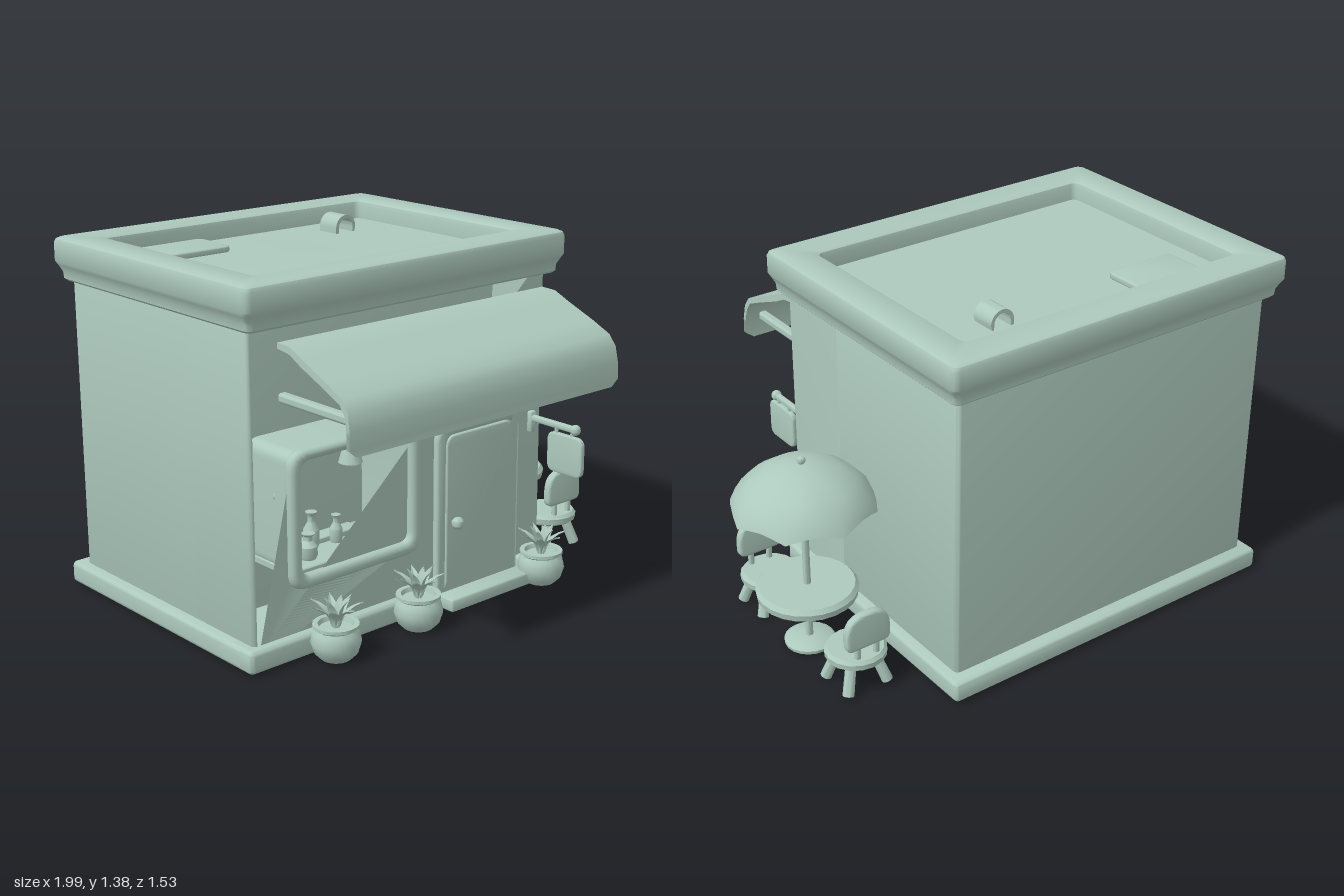
import * as THREE from 'three';
import { toCreasedNormals } from 'three/addons/utils/BufferGeometryUtils.js';
import { RoundedBoxGeometry } from 'three/addons/geometries/RoundedBoxGeometry.js';

const clay = new THREE.MeshStandardMaterial({ color: 0xadc9bd, side: THREE.DoubleSide });
clay.name = 'sage clay';

const V = (x, y, z) => new THREE.Vector3(x, y, z);

function add(parent, name, geo, x = 0, y = 0, z = 0, crease = 0.65) {
  const m = new THREE.Mesh(toCreasedNormals(geo, crease), clay);
  m.name = name;
  m.position.set(x, y, z);
  parent.add(m);
  return m;
}

// Rounded box given by its limits
function block(parent, name, [x0, x1], [y0, y1], [z0, z1], r = 0.015) {
  return add(parent, name, new RoundedBoxGeometry(x1 - x0, y1 - y0, z1 - z0, 3, r),
    (x0 + x1) / 2, (y0 + y1) / 2, (z0 + z1) / 2);
}

// Straight rod between two points
function rod(parent, name, a, b, r, r2 = r) {
  const geo = new THREE.CylinderGeometry(r2, r, a.distanceTo(b), 12);
  const m = add(parent, name, geo);
  m.position.copy(a).lerp(b, 0.5);
  m.quaternion.setFromUnitVectors(V(0, 1, 0), b.clone().sub(a).normalize());
  return m;
}

const lathe = (pts, n = 20) => new THREE.LatheGeometry(pts.map(p => new THREE.Vector2(...p)), n);

// Rounded rectangle outline with separate top and bottom radii
function roundRect(target, x0, x1, y0, y1, rt, rb = rt) {
  target.moveTo(x0 + rb, y0);
  target.lineTo(x1 - rb, y0);
  if (rb) target.quadraticCurveTo(x1, y0, x1, y0 + rb);
  target.lineTo(x1, y1 - rt);
  target.quadraticCurveTo(x1, y1, x1 - rt, y1);
  target.lineTo(x0 + rt, y1);
  target.quadraticCurveTo(x0, y1, x0, y1 - rt);
  target.lineTo(x0, y0 + rb);
  if (rb) target.quadraticCurveTo(x0, y0, x0 + rb, y0);
  return target;
}

function slab(shape, depth, bevel) {
  return new THREE.ExtrudeGeometry(shape, { depth: depth - 2 * bevel, curveSegments: 8, bevelEnabled: bevel > 0,
    bevelSize: bevel, bevelThickness: bevel, bevelOffset: -bevel, bevelSegments: 3 }).translate(0, 0, bevel);
}

// Rectangular rings [inset, y] joined into a moulding, closed by a floor
function moulding(hx, hz, rings) {
  const pos = [], idx = [], n = 16;
  for (const [d, y] of rings) {
    for (let i = 0; i < n; i++) {
      const q = Math.floor(i / 4), a = (q + (i % 4) / 3) * Math.PI / 2, r = 0.025;
      const sx = q === 0 || q === 3 ? 1 : -1, sz = q < 2 ? 1 : -1;
      pos.push(sx * (hx - d - r) + r * Math.cos(a), y, sz * (hz - d - r) + r * Math.sin(a));
    }
  }
  for (let k = 0; k < rings.length - 1; k++) for (let i = 0; i < n; i++) {
    const a = k * n + i, b = k * n + (i + 1) % n;
    idx.push(a, a + n, b, b, a + n, b + n);
  }
  const last = (rings.length - 1) * n;
  for (let i = 1; i < n - 1; i++) idx.push(last, last + i + 1, last + i);
  const g = new THREE.BufferGeometry();
  g.setAttribute('position', new THREE.Float32BufferAttribute(pos, 3));
  g.setIndex(idx);
  return g;
}

function group(parent, name, x = 0, y = 0, z = 0) {
  const g = new THREE.Group();
  g.name = name;
  g.position.set(x, y, z);
  parent.add(g);
  return g;
}

function building(root) {
  const g = group(root, 'building');
  // Walls, the front one pierced by the window
  block(g, 'rearWalls', [-0.96, 0.46], [0.02, 1.3], [-0.7, 0.1], 0.02);
  const wall = roundRect(new THREE.Shape(), -0.96, 0.46, 0.02, 1.28, 0.005);
  wall.holes.push(roundRect(new THREE.Path(), -0.77, -0.235, 0.29, 0.745, 0.05));
  add(g, 'frontWall', slab(wall, 0.345, 0.015), 0, 0, 0.02);
  // Plinth, open at the door
  block(g, 'plinth', [-1, 0.5], [0.005, 0.092], [-0.755, 0.355], 0.02);
  block(g, 'plinthFrontLeft', [0.33, 0.5], [0.005, 0.092], [0.2, 0.4], 0.02);
  block(g, 'plinthFrontRight', [-1, -0.11], [0.005, 0.092], [0.2, 0.4], 0.02);
  // Cornice, parapet and sunken roof
  add(g, 'corniceAndRoof', moulding(0.76, 0.593, [[0.075, 1.21], [0.03, 1.212], [0.022, 1.22], [0.02, 1.245], [0.008, 1.27],
    [0, 1.285], [0, 1.355], [0.005, 1.368], [0.018, 1.375], [0.13, 1.375], [0.141, 1.368], [0.146, 1.35], [0.146, 1.3]]), -0.24, 0, -0.172);
  add(g, 'roofHatch', slab(roundRect(new THREE.Shape(), -0.15, 0.15, -0.1, 0.1, 0.03), 0.025, 0.006)
    .rotateX(-Math.PI / 2), -0.6, 1.298, -0.49);
  const arch = new THREE.Shape();
  arch.moveTo(0.05, -0.03).absarc(0, 0.015, 0.05, 0, Math.PI).lineTo(-0.05, -0.03);
  arch.lineTo(-0.036, -0.03).absarc(0, 0.015, 0.036, Math.PI, 0, true).lineTo(0.036, -0.03);
  add(g, 'roofVent', slab(arch, 0.1, 0), 0.12, 1.305, -0.5);
}

function shopWindow(root) {
  const g = group(root, 'window');
  const frame = roundRect(new THREE.Shape(), -0.805, -0.195, 0.255, 0.765, 0.07);
  frame.holes.push(roundRect(new THREE.Path(), -0.755, -0.245, 0.305, 0.725, 0.04));
  add(g, 'windowFrame', slab(frame, 0.05, 0.02), 0, 0, 0.345);
  block(g, 'counter', [-0.77, -0.235], [0.285, 0.315], [0.1, 0.35], 0.008);
  block(g, 'counterBoard', [-0.54, -0.33], [0.312, 0.335], [0.13, 0.2], 0.006);
  // Pendant lamp
  add(g, 'pendantLamp', lathe([[0.03, 0], [0.045, 0.005], [0.018, 0.1], [0.008, 0.13], [0, 0.135]]), -0.41, 0.61, 0.24);
  // Bottles and vases: x, z, height, radius
  for (const [x, z, h, r] of [[-0.735, 0.2, 0.13, 0.022], [-0.67, 0.18, 0.135, 0.032], [-0.645, 0.28, 0.095, 0.034],
    [-0.565, 0.2, 0.135, 0.03], [-0.465, 0.22, 0.105, 0.024]])
    add(g, 'bottle', lathe([[0, 0], [r * 0.85, 0], [r, h * 0.12], [r, h * 0.5], [r * 0.45, h * 0.72],
      [r * 0.45, h * 0.88], [r * 0.75, h], [0, h]], 14), x, 0.315, z);
  const mug = add(g, 'mug', new THREE.CylinderGeometry(0.032, 0.027, 0.06, 16), -0.295, 0.345, 0.28);
  add(mug, 'mugHandle', new THREE.TorusGeometry(0.018, 0.005, 6, 14), -0.035, 0, 0);
  add(g, 'wallKnob', new THREE.SphereGeometry(0.028, 12, 8), -0.745, 0.57, 0.25);
}

function door(root) {
  const g = group(root, 'door');
  const frame = roundRect(new THREE.Shape(), -0.113, 0.313, 0.02, 0.72, 0.07, 0);
  frame.holes.push(roundRect(new THREE.Path(), -0.068, 0.298, 0.06, 0.675, 0.05, 0));
  add(g, 'doorFrame', slab(frame, 0.04, 0.012), 0, 0, 0.35);
  add(g, 'doorPanel', slab(roundRect(new THREE.Shape(), -0.055, 0.295, 0.06, 0.665, 0.045, 0), 0.025, 0.006), 0, 0, 0.352);
  block(g, 'doorStep', [-0.11, 0.325], [0.005, 0.058], [0.2, 0.47], 0.012);
  rod(g, 'knobStem', V(-0.02, 0.325, 0.36), V(-0.02, 0.325, 0.4), 0.01);
  add(g, 'doorKnob', new THREE.SphereGeometry(0.024, 14, 10), -0.02, 0.325, 0.402);
}

function awning(root) {
  const g = group(root, 'awning');
  const top = [[0.385, 1.163], [0.45, 1.16], [0.52, 1.128], [0.64, 1.078], [0.72, 1.04], [0.75, 1.0], [0.762, 0.94], [0.764, 0.88], [0.764, 0.852]];
  const under = [[0.75, 0.852], [0.75, 0.88], [0.746, 0.94], [0.735, 0.985], [0.71, 1.02], [0.63, 1.055], [0.51, 1.104], [0.45, 1.134], [0.385, 1.143]];
  const s = new THREE.Shape([...top, ...under].map(p => new THREE.Vector2(...p)));
  const geo = slab(s, 1.3, 0).rotateY(-Math.PI / 2).translate(0.65, 0, 0);
  // Flare towards the hem and clip its corners
  const p = geo.attributes.position;
  for (let i = 0; i < p.count; i++) {
    const y = p.getY(i);
    p.setX(i, Math.sign(p.getX(i)) * (y < 0.86 ? 0.615 : 0.638 + (1.16 - y) * 0.045));
  }
  add(g, 'awningCanopy', geo, -0.21);
  for (const x of [-0.8, 0.38]) block(g, 'awningArm', [x - 0.018, x + 0.018], [0.938, 0.975], [0.34, 0.715], 0.012);
}

function sign(root) {
  const g = group(root, 'hangingSign', 0.4, 0, 0);
  block(g, 'signMount', [-0.016, 0.016], [0.59, 0.675], [0.36, 0.385], 0.008);
  rod(g, 'signBracket', V(0, 0.648, 0.36), V(0, 0.648, 0.6), 0.014);
  add(g, 'bracketTip', new THREE.SphereGeometry(0.021, 12, 8), 0, 0.648, 0.6);
  for (const z of [0.505, 0.585]) rod(g, 'signHanger', V(0, 0.61, z), V(0, 0.645, z), 0.008);
  add(g, 'signBoard', slab(roundRect(new THREE.Shape(), -0.088, 0.088, 0.462, 0.62, 0.035), 0.022, 0.006)
    .rotateY(-Math.PI / 2), 0.011, 0, 0.554);
}

function pottedPlant(root, x) {
  const g = group(root, 'pottedPlant', x, 0, 0.46);
  add(g, 'pot', lathe([[0, 0], [0.055, 0], [0.08, 0.025], [0.092, 0.065], [0.084, 0.1], [0.074, 0.113], [0.084, 0.12],
    [0.084, 0.132], [0.065, 0.132], [0.06, 0.115], [0, 0.115]]));
  // Pointed leaves curling outward
  for (let i = 0; i < 11; i++) {
    const inner = i > 6, len = inner ? 0.12 : 0.105, lean = inner ? 0.035 : 0.085;
    const geo = new THREE.PlaneGeometry(1, 1, 2, 5), p = geo.attributes.position;
    for (let k = 0; k < p.count; k++) {
      const t = p.getY(k) + 0.5, u = p.getX(k) * 2, w = 0.019 * Math.sin(Math.PI * (0.2 + 0.8 * t));
      p.setXYZ(k, u * w, 0.115 + len * t * (1 - 0.15 * t * t) + Math.abs(u) * 0.006, 0.012 + lean * t * t);
    }
    add(g, 'leaf', geo).rotation.y = i * 2 * Math.PI / (inner ? 4 : 7) + (inner ? 0.4 : 0);
  }
}

function chair(root, z, side) {
  const g = group(root, 'chair', 0.7, 0, z);
  add(g, 'chairSeat', lathe([[0, 0.11], [0.1, 0.11], [0.115, 0.12], [0.117, 0.142], [0.106, 0.155], [0, 0.155]], 16));
  for (const sx of [-1, 1]) {
    for (const sz of [-1, 1])
      rod(g, 'chairLeg', V(sx * 0.085, 0.005, sz * 0.075), V(sx * 0.05, 0.12, sz * 0.045), 0.022, 0.02);
    rod(g, 'backPost', V(sx * 0.04, 0.14, side * 0.075), V(sx * 0.04, 0.24, side * 0.075), 0.012);
  }
  const back = roundRect(new THREE.Shape(), -0.093, 0.093, 0.2, 0.345, 0.085, 0.03);
  add(g, 'chairBack', slab(back, 0.036, 0.01), 0, 0, side * 0.077 - 0.018);
}

function terrace(root) {
  const g = group(root, 'terrace');
  const table = group(g, 'parasolTable', 0.717, 0, -0.112);
  add(table, 'tableBase', lathe([[0, 0.005], [0.095, 0.005], [0.097, 0.018], [0.08, 0.03], [0, 0.034]]));
  rod(table, 'parasolPole', V(0, 0.02, 0), V(0, 0.77, 0), 0.014);
  add(table, 'tableTop', lathe([[0, 0.213], [0.17, 0.213], [0.19, 0.225], [0.194, 0.25], [0.18, 0.267], [0, 0.267]], 24));
  // Canopy with a scalloped rim
  const geo = lathe([[0, 0.765], [0.1, 0.745], [0.19, 0.69], [0.262, 0.605], [0.274, 0.605], [0.252, 0.655],
    [0.2, 0.71], [0.14, 0.752], [0.07, 0.777], [0, 0.784]], 32);
  const p = geo.attributes.position;
  for (let i = 0; i < p.count; i++) {
    const r = Math.hypot(p.getX(i), p.getZ(i)) / 0.274, a = Math.atan2(p.getZ(i), p.getX(i));
    const dip = Math.abs(Math.sin(4 * a)) * r ** 4, k = 1 - 0.05 * dip;
    p.setXYZ(i, p.getX(i) * k, p.getY(i) + 0.022 * dip, p.getZ(i) * k);
  }
  add(table, 'parasolCanopy', geo);
  add(table, 'parasolFinial', new THREE.SphereGeometry(0.016, 12, 8), 0, 0.795, 0);
  chair(g, 0.195, 1);
  chair(g, -0.408, -1);
}

export function createModel() {
  const root = new THREE.Group();
  root.name = 'cafe';
  building(root);
  shopWindow(root);
  door(root);
  awning(root);
  sign(root);
  for (const x of [-0.67, -0.275, 0.38]) pottedPlant(root, x);
  terrace(root);
  return root;
}
